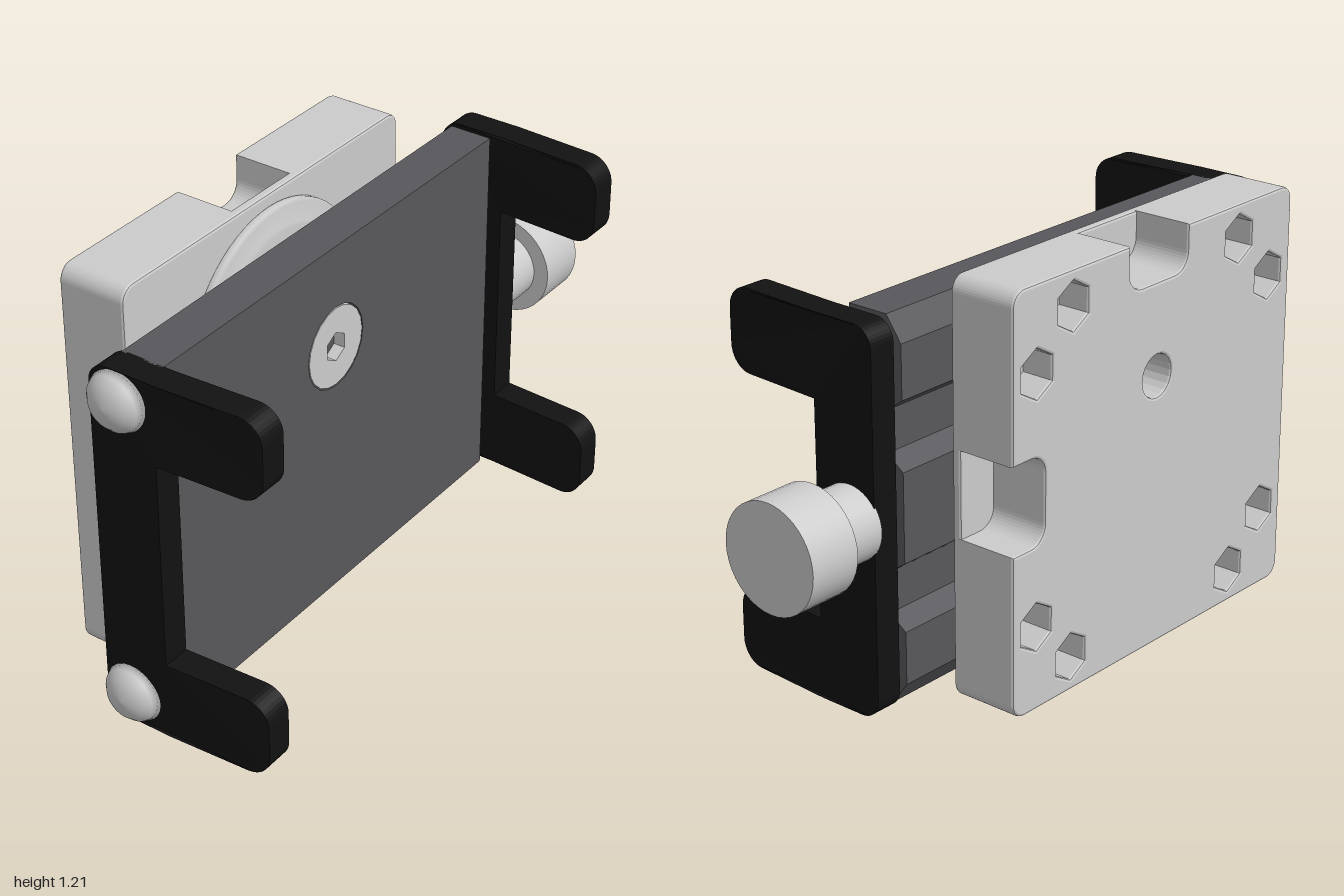
import * as THREE from 'three';

const GREY = 0xcccccc, DARK = 0x58585c, BLACK = 0x121212;
const CX = -0.145, CY = 0.81, AXIS_Z = -0.048; // swivel centre, clamp screw axis depth

function add(parent, name, geometry, color = GREY) {
  const mesh = new THREE.Mesh(geometry, new THREE.MeshStandardMaterial({ color }));
  mesh.name = name;
  parent.add(mesh);
  return mesh;
}

// Closed shape from corners [x, y, radius]
function roundedShape(corners) {
  const shape = new THREE.Shape();
  const n = corners.length;
  corners.forEach(([x, y, r = 0], i) => {
    const p = new THREE.Vector2(x, y);
    const toward = ([a, b]) => new THREE.Vector2(a, b).sub(p).normalize().multiplyScalar(r).add(p);
    const start = toward(corners[(i + n - 1) % n]);
    const end = toward(corners[(i + 1) % n]);
    if (i === 0) shape.moveTo(start.x, start.y);
    else shape.lineTo(start.x, start.y);
    if (r > 0) {
      // circular-looking fillet
      const k = 0.552;
      const c1 = start.clone().lerp(p, k), c2 = end.clone().lerp(p, k);
      shape.bezierCurveTo(c1.x, c1.y, c2.x, c2.y, end.x, end.y);
    }
  });
  shape.closePath();
  return shape;
}

function circlePath(x, y, r) {
  return new THREE.Path().absarc(x, y, r, 0, Math.PI * 2, true);
}

function hexPath(x, y, r) {
  const pts = [];
  for (let i = 0; i < 6; i++) {
    const a = -i * Math.PI / 3 + Math.PI / 2;
    pts.push(new THREE.Vector2(x + r * Math.cos(a), y + r * Math.sin(a)));
  }
  return new THREE.Path(pts);
}

// Extrusion along z from z0 to z1, with edges softened inside the outline
function slab(shape, z0, z1, bevel = 0) {
  const g = new THREE.ExtrudeGeometry(shape, {
    depth: z1 - z0 - 2 * bevel, curveSegments: 10, bevelEnabled: bevel > 0,
    bevelThickness: bevel, bevelSize: bevel, bevelOffset: -bevel, bevelSegments: 2,
  });
  return g.translate(0, 0, z0 + bevel);
}

// Extrusion along x of a shape drawn in (-z, y)
function sideSlab(shape, x0, x1) {
  return slab(shape, 0, x1 - x0).rotateY(Math.PI / 2).translate(x0, 0, 0);
}

// Lathe along +x from [radius, x] points
function turnedX(points, y, z, segments = 40) {
  const v = points.map(([r, x]) => new THREE.Vector2(r, x));
  return new THREE.LatheGeometry(v, segments).rotateZ(-Math.PI / 2).translate(0, y, z);
}

const cylX = (r, x0, x1, y, z) => new THREE.CylinderGeometry(r, r, x1 - x0, 40)
  .rotateZ(-Math.PI / 2).translate((x0 + x1) / 2, y, z);
const cylZ = (r, z0, z1, x, y, sides = 40) => new THREE.CylinderGeometry(r, r, z1 - z0, sides)
  .rotateX(Math.PI / 2).translate(x, y, (z0 + z1) / 2);

function basePlate() {
  const group = new THREE.Group();
  group.name = 'basePlate';
  const l = -0.75, r = 0.455, t = 1.21, c = 0.045;
  const my = 0.607, h = 0.127, d = 0.13;

  // closed front skin
  add(group, 'basePlateFront',
    slab(roundedShape([[l, 0, c], [r, 0, c], [r, t, c], [l, t, c]]), -0.21, -0.18, 0.008));

  // body with a notch in the top and in the left edge
  const body = roundedShape([
    [l, 0, c], [r, 0, c],
    [r, my - h], [r - d, my - h, 0.055], [r - d, my + h, 0.055], [r, my + h],
    [r, t, c],
    [CX + h, t], [CX + h, t - d, 0.055], [CX - h, t - d, 0.055], [CX - h, t],
    [l, t, c],
  ]);
  body.holes.push(circlePath(CX, CY, 0.062));
  const floors = [[CX, CY]];
  for (const sx of [-1, 1]) for (const sy of [-1, 1]) {
    for (const [dx, dy] of [[0.36, 0.505], [0.505, 0.36]]) {
      const x = CX + sx * dx, y = t / 2 + sy * dy;
      body.holes.push(hexPath(x, y, 0.07));
      floors.push([x, y]);
    }
  }
  add(group, 'basePlateBody', slab(body, -0.39, -0.194, 0.008));

  // bottoms of the blind holes
  floors.forEach(([x, y]) => add(group, 'holeFloor', cylZ(0.075, -0.29, -0.2, x, y, 24)));
  return group;
}

function swivel() {
  // stepped turntable between the two plates
  const pts = [[0, 0], [0.36, 0], [0.363, 0.006], [0.363, 0.022], [0.355, 0.03], [0.3, 0.032],
    [0.295, 0.046], [0, 0.046]].map(([a, b]) => new THREE.Vector2(a, b));
  return new THREE.LatheGeometry(pts, 64).rotateX(Math.PI / 2).translate(CX, CY + 0.002, -0.182);
}

function backboard() {
  const group = new THREE.Group();
  group.name = 'backboard';
  const x0 = -0.868, x1 = 0.6, b = 0.015, t = 1.125;

  // front skin with the countersunk screw hole
  const front = roundedShape([[x0, b], [x1, b], [x1, t], [x0, t]]);
  front.holes.push(circlePath(CX, CY + 0.003, 0.125));
  add(group, 'backboardFront', slab(front, 0.005, 0.04), DARK);

  // ribbed rear with two sloped channels and chamfered long edges
  const f = -0.005, e = 0.09, o = 0.14, g = 0.085;
  const ribs = roundedShape([
    [f, b], [e, b], [o, b + 0.07],
    [o, 0.24], [g, 0.28], [g, 0.4], [o, 0.44],
    [o, 0.7], [g, 0.74], [g, 0.86], [o, 0.9],
    [o, t - 0.07], [e, t], [f, t],
  ]);
  add(group, 'backboardRibs', sideSlab(ribs, x0, x1), DARK);

  // flush screw with hexagon socket
  const head = new THREE.Shape().absarc(CX, CY + 0.003, 0.121, 0, Math.PI * 2);
  head.holes.push(hexPath(CX, CY + 0.003, 0.045));
  add(group, 'pivotScrewHead', slab(head, 0.002, 0.04));
  return group;
}

// C-shaped jaw; its arms lean toward the middle
function jaw(side) {
  const s = 0.07; // spine front
  const shape = roundedShape([
    [-s, 0.015], [0.135, 0.015, 0.06], [0.135, 1.125, 0.06], [-s, 1.125],
    [-0.39, 1.125, 0.07], [-0.39, 0.885, 0.07], [-s, 0.885],
    [-s, 0.255], [-0.39, 0.255, 0.07], [-0.39, 0.015, 0.07],
  ]);
  const [x0, x1] = side > 0 ? [0.622, 0.706] : [-0.945, -0.861];
  const g = sideSlab(shape, x0, x1);
  const p = g.attributes.position;
  for (let i = 0; i < p.count; i++) {
    const lean = Math.max(0, p.getZ(i) - s) / 0.32 * 0.018;
    p.setX(i, p.getX(i) - side * lean);
  }
  g.computeVertexNormals();
  return g;
}

export function createModel() {
  const model = new THREE.Group();
  model.name = 'clampMount';
  model.add(basePlate(), backboard());
  add(model, 'swivelDisc', swivel());
  add(model, 'fixedJaw', jaw(-1), BLACK);
  add(model, 'slidingJaw', jaw(1), BLACK);

  // guide rods with domed heads on the fixed jaw
  for (const y of [0.11, 1.035]) {
    const dome = [[0, -1], [0.03, -0.997], [0.06, -0.984], [0.08, -0.964], [0.09, -0.94], [0, -0.94]];
    add(model, 'rodHead', turnedX(dome, y, AXIS_Z));
    add(model, 'guideRod', cylX(0.04, 0.55, 0.65, y, AXIS_Z));
  }

  // clamping screw and stepped knob
  const ky = 0.57;
  add(model, 'clampScrew', cylX(0.055, 0.55, 0.72, ky, AXIS_Z));
  add(model, 'knobNeck', cylX(0.108, 0.7, 0.85, ky, AXIS_Z));
  add(model, 'knobGrip', cylX(0.156, 0.84, 1, ky, AXIS_Z));
  return model;
}
